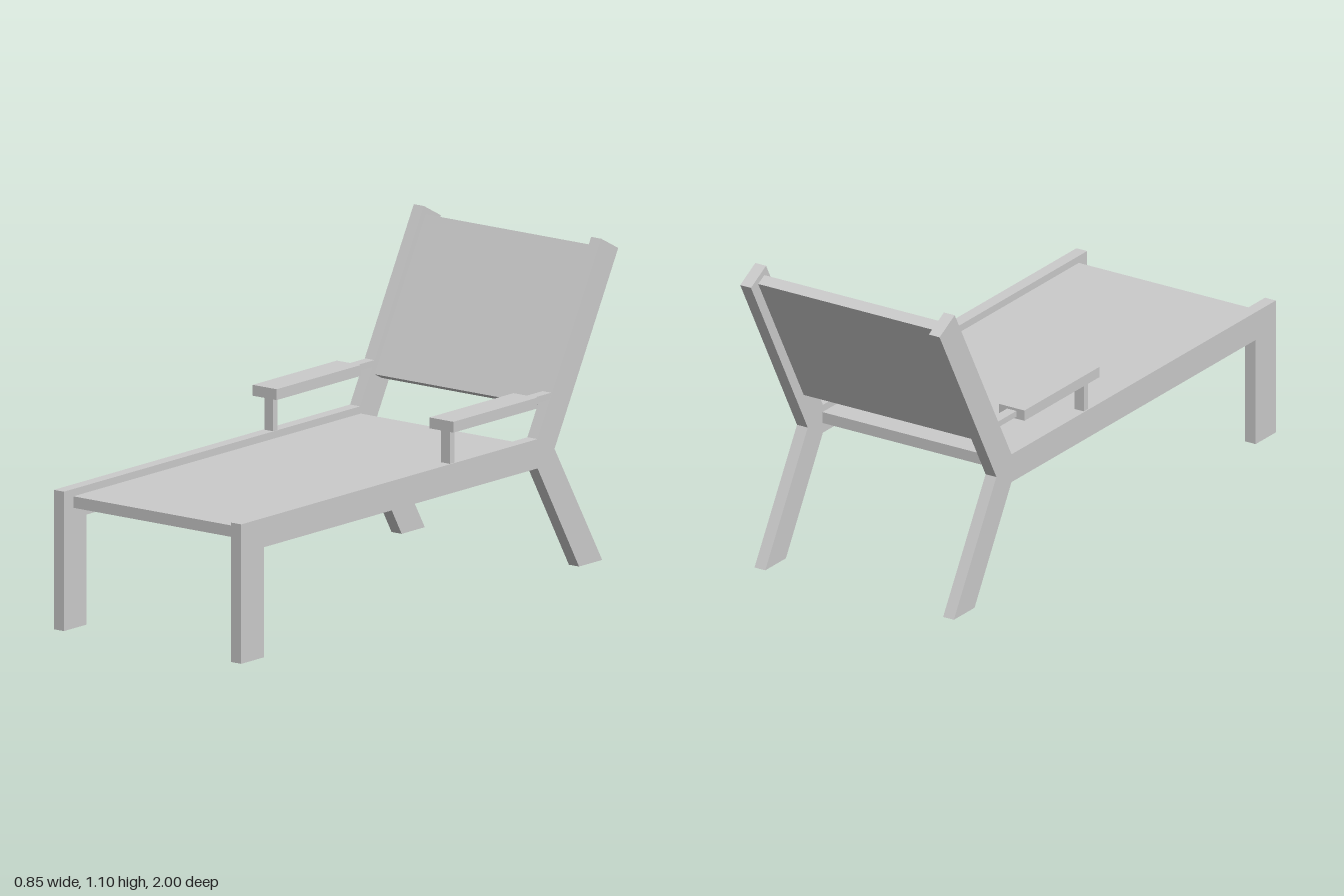
import * as THREE from 'three';

const material = new THREE.MeshStandardMaterial({ color: 0xcccccc, flatShading: true });

// Extrudes a side profile of [z, y] points across x from x0 to x1
function profile(name, points, x0, x1) {
  const shape = new THREE.Shape(points.map(([z, y]) => new THREE.Vector2(-z, y)));
  const geometry = new THREE.ExtrudeGeometry(shape, { depth: x1 - x0, bevelEnabled: false });
  geometry.rotateY(Math.PI / 2);
  geometry.translate(x0, 0, 0);
  const mesh = new THREE.Mesh(geometry, material);
  mesh.name = name;
  return mesh;
}

// Box given by its limits on each axis
function box(name, [x0, x1], [y0, y1], [z0, z1]) {
  const mesh = new THREE.Mesh(new THREE.BoxGeometry(x1 - x0, y1 - y0, z1 - z0), material);
  mesh.position.set((x0 + x1) / 2, (y0 + y1) / 2, (z0 + z1) / 2);
  mesh.name = name;
  return mesh;
}

export function createModel() {
  const group = new THREE.Group();
  group.name = 'loungeChair';
  const inner = 0.355, outer = 0.398;

  // Side frame: front leg, seat rail, back upright and splayed rear leg in one piece
  const frame = [
    [1, 0], [1, 0.475], [-0.572, 0.475], [-0.91, 1.095], [-1, 1.047], [-0.662, 0.425],
    [-0.915, 0], [-0.792, 0], [-0.572, 0.375], [0.88, 0.375], [0.88, 0],
  ];

  for (const side of [1, -1]) {
    const span = (a, b) => (side > 0 ? [a, b] : [-b, -a]);
    const prefix = side > 0 ? 'left' : 'right';
    group.add(profile(prefix + 'Frame', frame, ...span(inner, outer)));

    // Armrest: pad, front post and tongue joining the upright
    const arm = new THREE.Group();
    arm.name = prefix + 'Armrest';
    arm.add(
      box('armPad', span(0.324, 0.426), [0.59, 0.627], [-0.537, -0.09]),
      box('armPost', span(0.357, 0.394), [0.47, 0.592], [-0.136, -0.112]),
      box('armTongue', span(0.357, 0.394), [0.597, 0.618], [-0.655, -0.53]),
    );
    group.add(arm);
  }

  // Seat panel set between the rails
  group.add(box('seatPanel', [-inner, inner], [0.411, 0.45], [-0.575, 0.95]));

  // Leaning back panel set between the uprights
  group.add(profile('backPanel',
    [[-0.649, 0.57], [-0.92, 1.065], [-0.957, 1.046], [-0.686, 0.551]], -inner, inner));

  return group;
}
